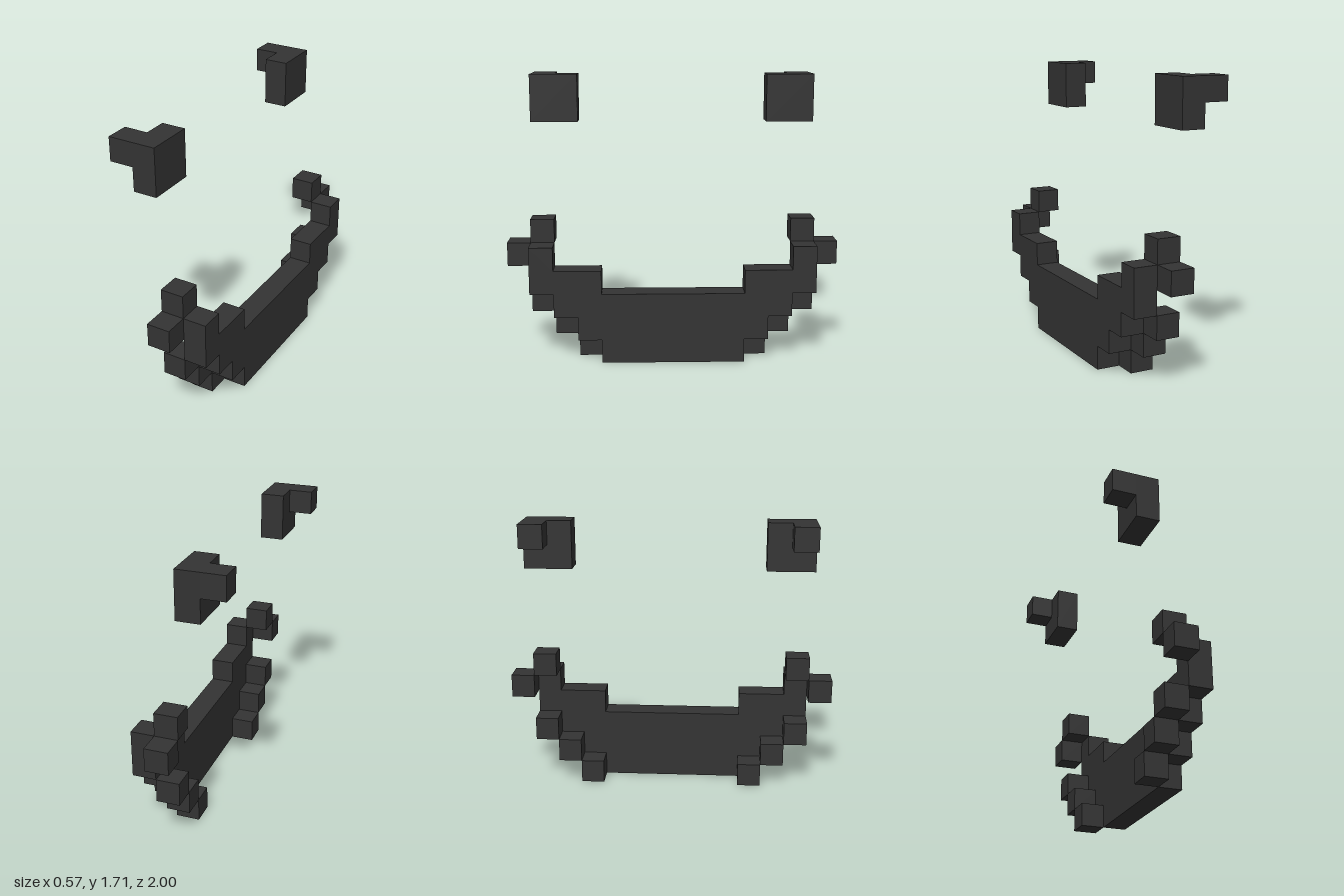
import * as THREE from 'three';

const U = 1 / 7; // edge of one block

export function createModel() {
  const model = new THREE.Group();
  model.name = 'blockSmile';
  const charcoal = new THREE.MeshStandardMaterial({ color: 0x333333 });
  charcoal.name = 'charcoal';

  const add = (parent, name, geometry) => {
    const mesh = new THREE.Mesh(geometry.scale(U, U, U), charcoal);
    mesh.name = name;
    parent.add(mesh);
  };
  // Box between two corners, measured in blocks
  const box = (x0, y0, z0, x1, y1, z1) =>
    new THREE.BoxGeometry(x1 - x0, y1 - y0, z1 - z0)
      .translate((x0 + x1) / 2, (y0 + y1) / 2, (z0 + z1) / 2);

  // Stepped mouth plate: half outline as (z, y), mirrored, one block thick
  const half = [[3, 0], [3, 1], [4, 1], [4, 2], [5, 2], [5, 3], [6, 3], [6, 5], [5, 5], [5, 4], [3, 4], [3, 3]];
  const outline = [...half, ...half.map(([z, y]) => [-z, y]).reverse()];
  const shape = new THREE.Shape(outline.map(([z, y]) => new THREE.Vector2(z, y)));
  add(model, 'mouth', new THREE.ExtrudeGeometry(shape, { depth: 1, bevelEnabled: false })
    .rotateY(-Math.PI / 2).translate(2, 0, 0));

  for (const side of [1, -1]) {
    const label = side > 0 ? 'front' : 'back';
    // z extent of a part, mirrored to this end
    const block = (x, y, z, w, h, d) =>
      side > 0 ? box(x, y, z, x + w, y + h, z + d) : box(x, y, -z - d, x + w, y + h, -z);

    // Single blocks stepping around the mouth corner, as (y, z)
    const corner = new THREE.Group();
    corner.name = label + 'MouthCorner';
    for (const [y, z] of [[0, 3], [1, 4], [2, 5], [4, 6], [5, 5]]) {
      add(corner, 'cornerBlock', block(0, y, z, 1, 1, 1));
    }

    // Eye with one block reaching out from its upper outer corner
    const eye = new THREE.Group();
    eye.name = label + 'Eye';
    add(eye, 'eyeBlock', block(-1, 10, 4, 1, 2, 2));
    add(eye, 'eyeCorner', block(-2, 11, 5, 1, 1, 1));
    model.add(corner, eye);
  }
  return model;
}
